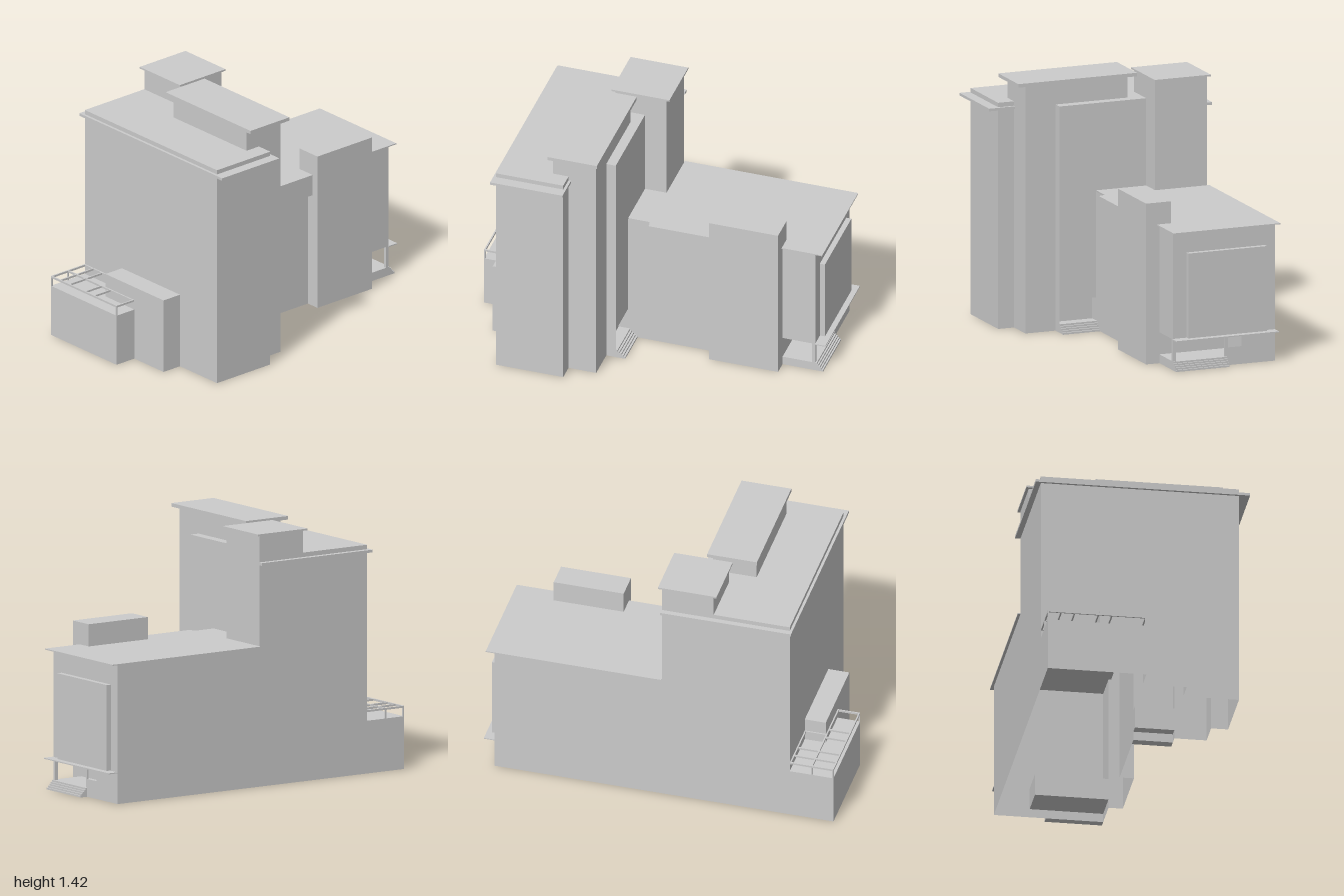
import * as THREE from 'three';
import { mergeGeometries } from 'three/addons/utils/BufferGeometryUtils.js';

const material = new THREE.MeshStandardMaterial({ color: 0xcccccc, side: THREE.DoubleSide });

// One flat four-cornered face, corners counter-clockwise from outside.
function quad(a, b, c, d) {
  const g = new THREE.BufferGeometry();
  g.setAttribute('position', new THREE.Float32BufferAttribute([a, b, c, a, c, d].flat(), 3));
  g.computeVertexNormals();
  return g;
}

// Vertical walls along a plan path of [x, z] points; outside is on the right.
function walls(path, y0, y1) {
  return path.slice(1).map(([bx, bz], i) => {
    const [ax, az] = path[i];
    return quad([ax, y0, az], [bx, y0, bz], [bx, y1, bz], [ax, y1, az]);
  });
}

// Horizontal rectangle facing up.
const deck = (x0, x1, z0, z1, y) =>
  quad([x0, y, z1], [x1, y, z1], [x1, y, z0], [x0, y, z0]);

// Solid box given by its limits.
function block(x0, x1, y0, y1, z0, z1) {
  const g = new THREE.BoxGeometry(x1 - x0, y1 - y0, z1 - z0).toNonIndexed();
  g.deleteAttribute('uv');
  return g.translate((x0 + x1) / 2, (y0 + y1) / 2, (z0 + z1) / 2);
}

// Flight of solid steps rising from z0 (low end) to z1 (high end).
function steps(x0, x1, z0, z1, height, count) {
  return Array.from({ length: count }, (_, i) =>
    block(x0, x1, (height * i) / count, (height * (i + 1)) / count, z0 + ((z1 - z0) * i) / count, z1));
}

export function createModel() {
  const model = new THREE.Group();
  model.name = 'building';
  const add = (name, ...parts) => {
    const mesh = new THREE.Mesh(mergeGeometries(parts.flat()), material);
    mesh.name = name;
    model.add(mesh);
  };

  const W = -0.57; // long flush side wall
  const TOP = 1.28, LOW = 0.78, TERRACE = 0.295, BAY = 0.43;

  // Tall front block, open underneath
  add('towerWalls',
    walls([[W, 0.75], [-0.26, 0.75]], TERRACE, TOP),
    walls([[-0.26, 0.75], [0.225, 0.75]], BAY, TOP),
    walls([[0.225, 0.75], [0.535, 0.75], [0.535, 0.36], [0.44, 0.36], [0.44, 0.2], [0.26, 0.2]], 0, TOP),
    walls([[W, 0.2], [W, 0.75]], 0, TOP));
  add('towerRoof', deck(W, 0.535, 0.36, 0.75, TOP), deck(W, 0.44, 0.2, 0.36, TOP));
  add('cornice',
    block(-0.6, 0.595, 1.24, 1.255, 0.345, 0.765),
    block(-0.6, W, 1.24, 1.255, 0.015, 0.345));

  // Projecting rear bay with a recessed doorway at its foot
  add('rearBay',
    walls([[0.26, 0.2], [0.26, 0.145]], 0, TOP),
    walls([[0.26, 0.145], [0.04, 0.145]], 0.18, TOP),
    walls([[0.04, 0.145], [-0.26, 0.145]], LOW, TOP),
    deck(-0.26, 0.26, 0.145, 0.2, TOP));
  add('doorRecess',
    deck(0.04, 0.26, 0.145, 0.2, 0.05),
    deck(0.04, 0.26, 0.145, 0.2, 0.18),
    walls([[0.26, 0.2], [0.04, 0.2], [0.04, 0.145]], 0.05, 0.18));
  add('sideSteps', steps(0.04, 0.26, 0.09, 0.145, 0.05, 5));

  // Rooftop rooms
  add('penthouse', block(-0.17, 0.44, TOP, 1.4, 0.2, 0.45));
  add('penthouseRoof', block(-0.22, 0.49, 1.4, 1.42, 0.18, 0.465));
  add('stairTower',
    walls([[-0.26, 0.145], [-0.26, 0.02], [W, 0.02]], LOW, 1.405),
    walls([[W, 0.02], [W, 0.2]], 0, 1.405),
    walls([[W, 0.2], [W, 0.315], [-0.26, 0.315], [-0.26, 0.145]], TOP, 1.405));
  add('stairTowerRoof', block(-0.585, -0.25, 1.405, 1.415, 0, 0.335));

  // Front bay and L-shaped terrace
  add('frontBay',
    walls([[-0.26, 0.75], [-0.26, 0.87]], TERRACE, BAY),
    walls([[-0.26, 0.87], [-0.02, 0.87]], TERRACE, BAY),
    walls([[-0.02, 0.87], [0.225, 0.87], [0.225, 0.75]], 0, BAY),
    deck(-0.26, 0.225, 0.75, 0.87, BAY));
  add('terrace',
    walls([[W, 0.75], [W, 1], [-0.02, 1], [-0.02, 0.87]], 0, TERRACE),
    deck(W, -0.02, 0.87, 1, TERRACE),
    deck(W, -0.26, 0.75, 0.87, TERRACE));

  // Pergola: outline beams, cross beams and thin posts
  const beam = (x0, x1, z0, z1) => block(x0, x1, 0.343, 0.354, z0, z1);
  const t = 0.008;
  add('pergolaBeams',
    beam(W, -0.02, 1 - t, 1), beam(W, -0.02, 0.872, 0.872 + t), beam(W, -0.26, 0.75, 0.75 + t),
    beam(W, W + t, 0.75, 1), beam(-0.02 - t, -0.02, 0.872, 1), beam(-0.26 - t, -0.26, 0.75, 0.872),
    [-0.495, -0.42].map(x => beam(x - t / 2, x + t / 2, 0.75, 1)),
    [-0.287, -0.212].map(x => beam(x - t / 2, x + t / 2, 0.872, 1)));
  add('pergolaPosts',
    [[W, 1 - t], [-0.02 - t, 1 - t], [W, 0.872]].map(([x, z]) =>
      block(x, x + t, TERRACE, 0.345, z, z + t)));

  // Long low rear wing
  add('rearWingWalls',
    walls([[0.04, 0.145], [0.04, -0.35]], 0, LOW),
    walls([[0.04, -0.75], [0.04, -0.94], [W, -0.94]], 0.175, LOW),
    walls([[W, -0.94], [W, 0.02]], 0, LOW));
  add('rearWingRoof',
    block(-0.585, 0.055, LOW, LOW + 0.006, -0.985, 0.02),
    deck(-0.26, 0.04, 0.02, 0.145, LOW + 0.006));
  add('sideOverhang', block(0.04, 0.08, 0.665, LOW + 0.006, -0.35, 0.015));
  add('liftShaft',
    walls([[0.04, -0.35], [0.12, -0.35], [0.12, -0.75], [0.04, -0.75]], 0, LOW),
    walls([[-0.03, -0.75], [-0.03, -0.35], [0.12, -0.35], [0.12, -0.75], [-0.03, -0.75]], LOW, 0.91),
    deck(-0.03, 0.12, -0.75, -0.35, 0.91));
  add('rearPanel', block(-0.51, -0.04, 0.18, 0.66, -0.97, -0.94));

  // Corner porch at the back, with a small window opening beside the steps
  add('porchWalls',
    walls([[0.04, -0.75], [0.04, -0.94], [-0.37, -0.94]], 0, 0.05),
    walls([[-0.27, -0.94], [-0.37, -0.94]], 0.05, 0.1),
    walls([[-0.37, -0.94], [W, -0.94]], 0, 0.175),
    walls([[0.04, -0.75], [-0.37, -0.75], [-0.37, -0.94]], 0.05, 0.175));
  add('porchFloor', deck(-0.37, 0.04, -0.94, -0.75, 0.05));
  add('porchCeiling', deck(-0.37, 0.04, -0.94, -0.75, 0.175));
  add('porchPosts',
    block(0.022, 0.04, 0.05, 0.175, -0.94, -0.922),
    block(-0.28, -0.27, 0.05, 0.175, -0.94, -0.93));
  add('rearCanopy', block(W, 0.045, 0.172, 0.178, -1, -0.94));
  add('rearSteps', steps(-0.28, 0.04, -0.985, -0.94, 0.05, 5));

  return model;
}
